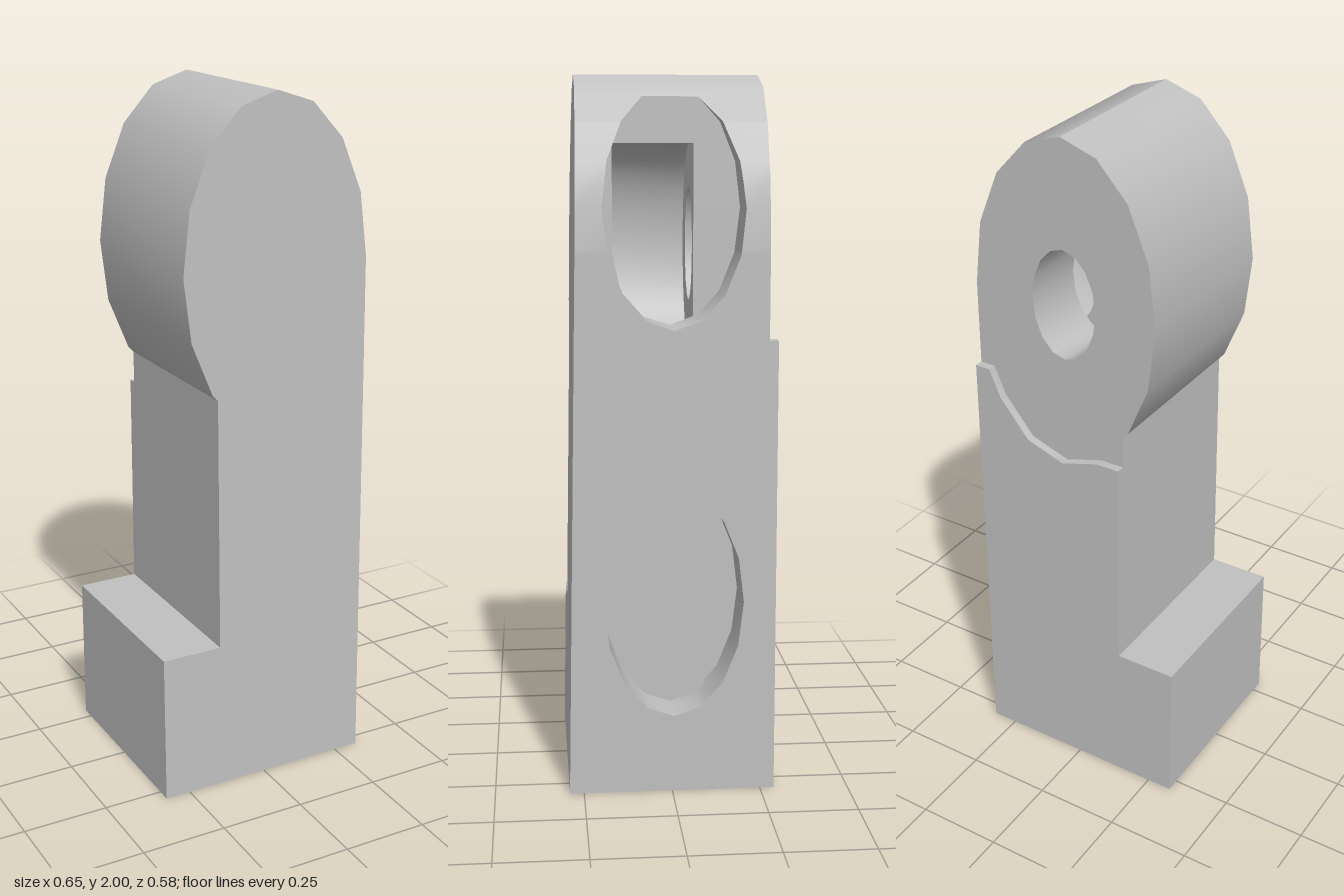
import * as THREE from 'three';
import { toCreasedNormals } from 'three/addons/utils/BufferGeometryUtils.js';

const BACK = -0.29, HEAD_BACK = -0.265;      // lower body and recessed head
const FLOOR = 0.175, HOLE_Z = -0.005;        // depth and centre of the side holes
const CAVITY = { x0: -0.21, x1: 0.2, z: 0.185, top: 0.275 };
const SLOT = { z0: -0.07, z1: 0.155, y0: 1.25, y1: 1.81 };
const SIDE_HOLES = [0.548, 1.637].map(y => ({ y, ry: 0.327, rz: 0.195 }));
const frontZ = y => 0.29 - 0.0175 * y;       // front face leans back slightly

const ellipse = (cx, cy, rx, ry, from, to, n) => Array.from({ length: n + 1 }, (_, i) => {
  const a = THREE.MathUtils.degToRad(from + (to - from) * i / n);
  return [cx + rx * Math.cos(a), cy + ry * Math.sin(a)];
});

// Linear lookup in a list of [key, value] pairs
function lookup(table, k) {
  for (let i = 1; i < table.length; i++) {
    const [k0, v0] = table[i - 1], [k1, v1] = table[i];
    if (k <= k1) return v0 + (v1 - v0) * (k - k0) / (k1 - k0);
  }
  return table[table.length - 1][1];
}

const quad = (out, a, b, c, d) => out.push(a, b, c, a, c, d);

// Flat face from a counterclockwise outline
function face(out, pts, holes, map, flip = false) {
  const vec = list => list.map(p => new THREE.Vector2(...p));
  const shape = new THREE.Shape(vec(pts));
  holes.forEach(h => shape.holes.push(new THREE.Path(vec(h))));
  const g = new THREE.ShapeGeometry(shape), p = g.attributes.position, ix = g.index.array;
  for (let i = 0; i < ix.length; i += 3) {
    const t = [ix[i], ix[i + 1], ix[i + 2]].map(k => map(p.getX(k), p.getY(k)));
    out.push(...(flip ? t.reverse() : t));
  }
}

// Strip along an xy path, spanning z
function strip(out, path, z0, z1) {
  for (let i = 1; i < path.length; i++) {
    const p = path[i - 1], q = path[i];
    const zb = z0(p[1], q[1]);
    quad(out, [...p, zb], [...q, zb], [...q, z1(q[1])], [...p, z1(p[1])]);
  }
}

export function createModel() {
  const group = new THREE.Group();
  const grey = new THREE.MeshStandardMaterial({ color: 0xc0c0c0, side: THREE.DoubleSide });
  grey.name = 'grey';

  const part = (name, build) => {
    const tris = [];
    build(tris);
    const g = new THREE.BufferGeometry();
    g.setAttribute('position', new THREE.Float32BufferAttribute(tris.flat(), 3));
    const mesh = new THREE.Mesh(toCreasedNormals(g, 0.65), grey);
    mesh.name = name;
    group.add(mesh);
  };

  // Outlines
  const head = ellipse(0.04, 1.53, 0.285, 0.47, 0, 225, 10);
  const foot = [[-0.145, 0.44], [-0.325, 0.44], [-0.325, 0]];
  const ledge = [[0.325, 1.28], [0.28, 1.28], [0.245, 1.2], [0.155, 1.09],
    [0.04, 1.05], [-0.075, 1.085], [-0.145, 1.085]];
  const pinHole = ellipse(0.04, 1.53, 0.1, 0.162, 360, 0, 16);
  const slot = [[FLOOR, SLOT.y1], ...ellipse(0.04, 1.53, 0.17, 0.28, 90, 270, 16),
    [FLOOR, SLOT.y0]];

  part('frontFace', out =>
    face(out, [[0.325, 0], ...head, [-0.145, 1.18], ...foot], [], (x, y) => [x, y, frontZ(y)]));
  part('backPanel', out =>
    face(out, [[0.325, 0], ...ledge, ...foot], [], (x, y) => [x, y, BACK], true));
  part('headBack', out =>
    face(out, [...[...ledge].reverse(), ...head, [-0.145, 1.18]], [pinHole.slice(0, -1)],
      (x, y) => [x, y, HEAD_BACK], true));
  part('backLedge', out => strip(out, ledge, () => BACK, () => HEAD_BACK));
  part('pinHole', out => strip(out, pinHole, () => HEAD_BACK, () => SLOT.z0));

  // Rounded head top, neck and foot on the -x side
  part('outerShell', out => strip(out,
    [...head.slice(4), [-0.145, 1.18], [-0.145, 1.085], ...foot],
    (a, b) => Math.min(a, b) >= 1.085 ? HEAD_BACK : BACK, frontZ));

  // Rounded slot inside the head
  part('headSlot', out => {
    strip(out, [...slot].reverse(), () => SLOT.z0, () => SLOT.z1);
    face(out, slot, [], (x, y) => [x, y, SLOT.z1], true);
    face(out, slot, [pinHole.slice(0, -1)], (x, y) => [x, y, SLOT.z0]);
  });

  // The +x wall is built in horizontal bands around its two holes
  const wallX = [[0, 0.325], ...head.slice(0, 5).map(([x, y]) => [y, x])];
  for (const h of SIDE_HOLES) {
    h.table = ellipse(0, h.y, h.rz, h.ry, -90, 90, 8).map(([w, y]) => [y, w]);
    h.bottom = h.y - h.ry;
    h.top = Math.min(h.y + h.ry, 1.936);
  }
  const levels = [...new Set([CAVITY.top, 1.28, 1.936, SLOT.y1, ...wallX.map(p => p[0]),
    ...SIDE_HOLES.flatMap(h => h.table.map(p => p[0]))])].sort((a, b) => a - b);
  const bands = levels.slice(1).map((y1, i) => {
    const y0 = levels[i], mid = (y0 + y1) / 2;
    return { y0, y1, mid, hole: SIDE_HOLES.find(h => mid > h.bottom && mid < h.top) };
  });
  // Panel facing +x between two z limits given at each end of a band
  const panel = (out, x0, x1, y0, y1, lo, hi) =>
    quad(out, [x0, y0, hi[0]], [x0, y0, lo[0]], [x1, y1, lo[1]], [x1, y1, hi[1]]);
  const edges = (b, s) => [b.y0, b.y1].map(y => HOLE_Z + s * lookup(b.hole.table, y));

  part('sideWall', out => bands.forEach(b => {
    const x0 = lookup(wallX, b.y0), x1 = lookup(wallX, b.y1);
    const zb = b.mid < 1.28 ? BACK : HEAD_BACK;
    const back = [zb, zb], front = [frontZ(b.y0), frontZ(b.y1)];
    if (!b.hole) return panel(out, x0, x1, b.y0, b.y1, back, front);
    panel(out, x0, x1, b.y0, b.y1, back, edges(b, -1));
    panel(out, x0, x1, b.y0, b.y1, edges(b, 1), front);
  }));

  part('sideHoleWalls', out => bands.filter(b => b.hole).forEach(b => {
    const xf = b.mid < CAVITY.top ? CAVITY.x1 : FLOOR;
    for (const s of [1, -1]) {
      const [z0, z1] = edges(b, s);
      const c = [[lookup(wallX, b.y0), b.y0, z0], [xf, b.y0, z0],
        [xf, b.y1, z1], [lookup(wallX, b.y1), b.y1, z1]];
      quad(out, ...(s > 0 ? c : c.reverse()));
    }
  }));

  part('sideHoleFloors', out => bands.filter(b => b.hole && b.mid > CAVITY.top).forEach(b => {
    const lo = edges(b, -1), hi = edges(b, 1);
    if (b.mid < 1.25 || b.mid > SLOT.y1) return panel(out, FLOOR, FLOOR, b.y0, b.y1, lo, hi);
    panel(out, FLOOR, FLOOR, b.y0, b.y1, lo, lo.map(z => Math.max(z, SLOT.z0)));
    panel(out, FLOOR, FLOOR, b.y0, b.y1, hi.map(z => Math.min(z, SLOT.z1)), hi);
  }));

  // Underside and its rectangular cavity
  const { x0, x1, z, top } = CAVITY;
  const rect = [[x0, -z], [x1, -z], [x1, z], [x0, z]];
  part('underside', out => face(out,
    [[-0.325, BACK], [0.325, BACK], [0.325, 0.29], [-0.325, 0.29]], [rect],
    (x, v) => [x, 0, v]));
  part('cavity', out => {
    const low = SIDE_HOLES[0], w = lookup(low.table, top);
    quad(out, [x0, 0, z], [x0, top, z], [x1, top, z], [x1, 0, z]);
    quad(out, [x0, 0, -z], [x1, 0, -z], [x1, top, -z], [x0, top, -z]);
    quad(out, [x0, 0, -z], [x0, top, -z], [x0, top, z], [x0, 0, z]);
    // Wall beside the lower hole, open where the hole breaks through
    const inner = (ya, yb, a, b) =>
      quad(out, [x1, ya, a[0]], [x1, ya, b[0]], [x1, yb, b[1]], [x1, yb, a[1]]);
    inner(0, low.bottom, [-z, -z], [z, z]);
    bands.filter(b => b.hole === low && b.mid < top).forEach(b => {
      inner(b.y0, b.y1, [-z, -z], edges(b, -1));
      inner(b.y0, b.y1, edges(b, 1), [z, z]);
    });
    // Ceiling, notched at the lower hole
    face(out, [[x0, -z], [x1, -z], [x1, HOLE_Z - w], [FLOOR, HOLE_Z - w],
      [FLOOR, HOLE_Z + w], [x1, HOLE_Z + w], [x1, z], [x0, z]], [], (x, v) => [x, top, v]);
  });

  return group;
}
